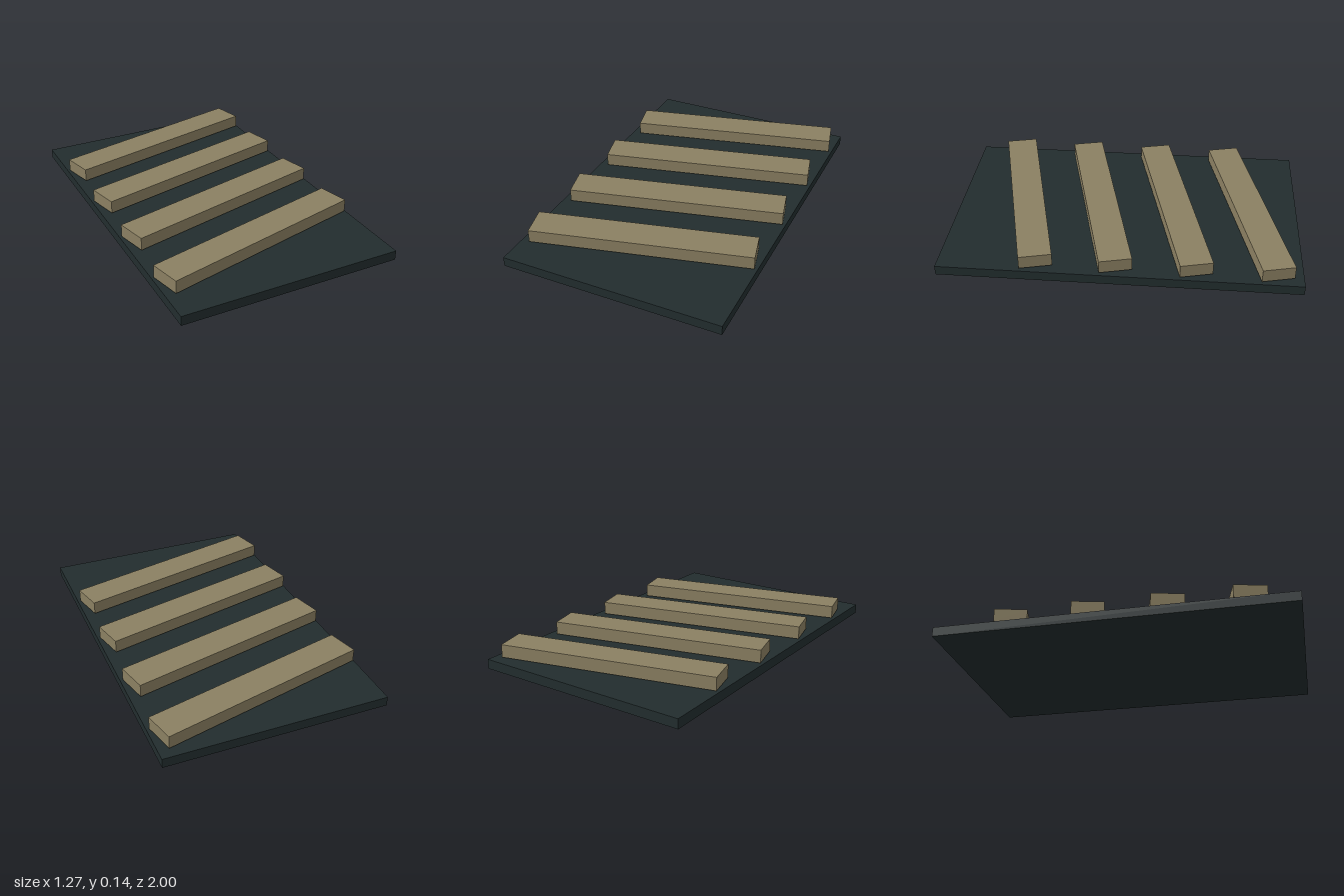
import * as THREE from 'three';

export function createModel() {
  const model = new THREE.Group();
  model.name = 'slattedPanel';

  const darkPanel = new THREE.MeshStandardMaterial({ color: 0x222d2e });
  darkPanel.name = 'darkPanel';
  const tanSlat = new THREE.MeshStandardMaterial({ color: 0x8b8062 });
  tanSlat.name = 'tanSlat';

  // Flat base panel
  const base = new THREE.Mesh(new THREE.BoxGeometry(1.27, 0.055, 2), darkPanel);
  base.name = 'basePanel';
  base.position.y = 0.0275;
  model.add(base);

  // Four slanted slats, floating just above the panel
  const slatGeometry = new THREE.BoxGeometry(1.238, 0.074, 0.182);
  for (let i = 0; i < 4; i++) {
    const slat = new THREE.Mesh(slatGeometry, tanSlat);
    slat.name = `slat${i + 1}`;
    slat.position.set(-0.002, 0.1, -0.712 + i * 0.436);
    slat.rotation.y = 0.24;
    model.add(slat);
  }

  return model;
}
